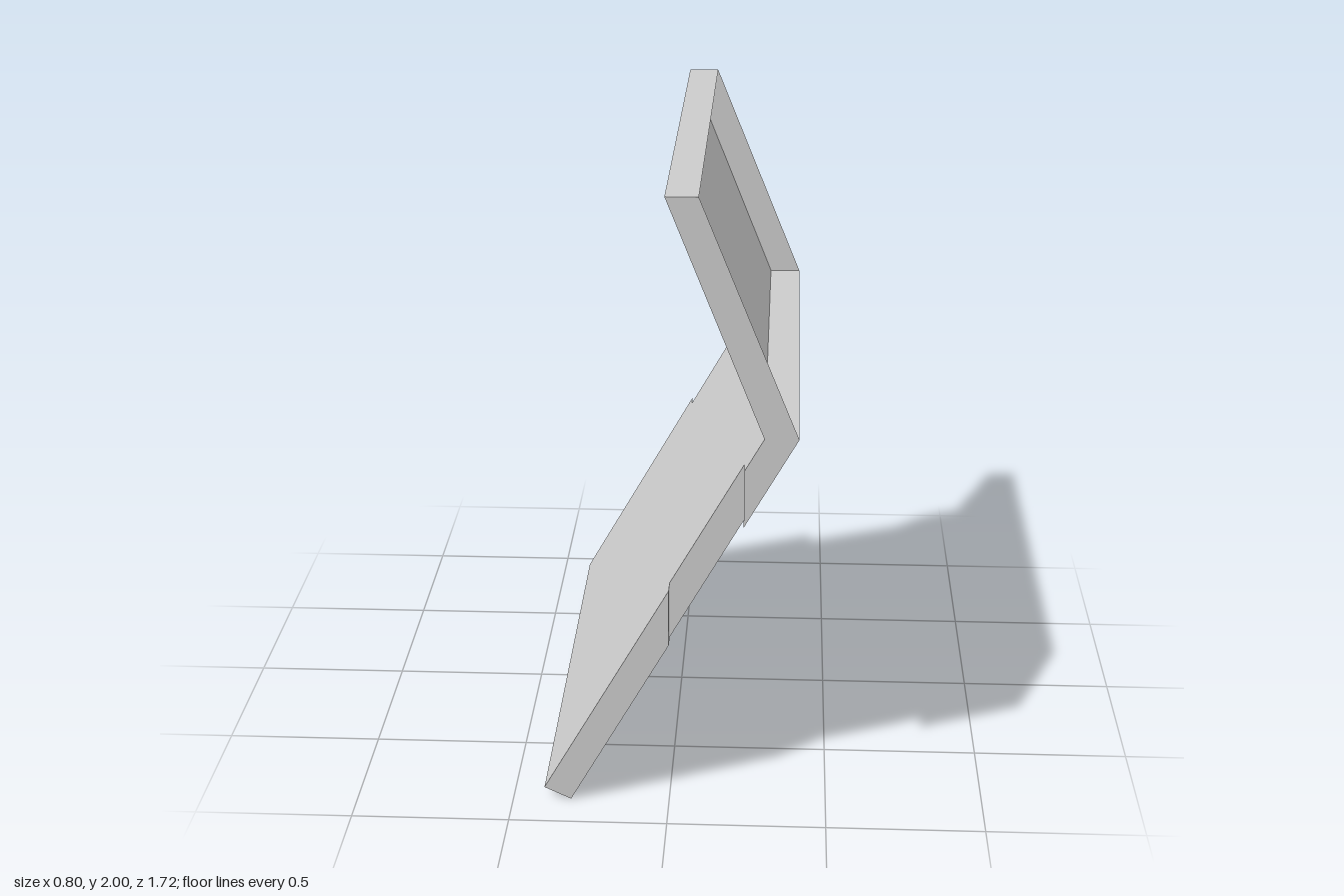
import * as THREE from 'three';

const material = new THREE.MeshStandardMaterial({ color: 0xcccccc, side: THREE.DoubleSide, flatShading: true });
const HALF = 0.86; // half the width along z

// Straight line in the x-y profile: height at a given x
const line = ([x0, y0], [x1, y1]) => (x) => y0 + ((x - x0) / (x1 - x0)) * (y1 - y0);

// Flat sheet through points [x, y, z] lying on one sloped plane
function sheet(name, points) {
  const flat = points.map(([, y, z]) => new THREE.Vector2(z, y));
  const geometry = new THREE.BufferGeometry();
  geometry.setAttribute('position', new THREE.Float32BufferAttribute(points.flat(), 3));
  geometry.setIndex(THREE.ShapeUtils.triangulateShape(flat, []).flat());
  geometry.computeVertexNormals();
  const mesh = new THREE.Mesh(geometry, material);
  mesh.name = name;
  return mesh;
}

// Thin walls joining two matching loops; edge number `skip` stays open
function walls(name, back, front, skip = -1) {
  const positions = [];
  back.forEach((a, i) => {
    if (i === skip) return;
    const j = (i + 1) % back.length;
    positions.push(...a, ...front[i], ...front[j], ...a, ...front[j], ...back[j]);
  });
  const geometry = new THREE.BufferGeometry();
  geometry.setAttribute('position', new THREE.Float32BufferAttribute(positions, 3));
  geometry.computeVertexNormals();
  const mesh = new THREE.Mesh(geometry, material);
  mesh.name = name;
  return mesh;
}

// Mirror the points of one side across z = 0 into a closed loop
const mirrored = (half) => [...half, ...half.map(([x, y, z]) => [x, y, -z]).reverse()];

export function createModel() {
  const model = new THREE.Group();
  model.name = 'foldedTrays';

  // Upper tray: open towards +x, sheet on the inner side of the fold
  const upper = new THREE.Group();
  upper.name = 'upperTray';
  const upperBack = mirrored([[-0.01, 2, HALF], [0.29, 1.25, HALF]]);
  const upperFront = mirrored([[0.09, 2, HALF], [0.395, 1.25, HALF]]);
  upper.add(sheet('upperSheet', upperBack), walls('upperWalls', upperBack, upperFront));

  // Lower tray: a notch in each long side between x = 0 and x = 0.23
  const lower = new THREE.Group();
  lower.name = 'lowerTray';
  const backY = line([-0.4, 0.04], [0.29, 1.25]);
  const frontY = line([-0.315, 0], [0.395, 1.25]);
  const notch = [[0.23, HALF], [0.23, 0.8], [0, 0.8], [0, HALF]];
  const side = (top, bottom, height) => mirrored([
    [top, height(top), HALF],
    ...notch.map(([x, z]) => [x, height(x), z]),
    [bottom, height(bottom), HALF],
  ]);
  const lowerBack = side(0.29, -0.4, backY);
  const lowerFront = side(0.395, -0.315, frontY);
  lower.add(sheet('lowerSheet', lowerBack));
  // the hinge wall already belongs to the upper tray
  lower.add(walls('lowerWalls', lowerBack, lowerFront, lowerBack.length - 1));

  // Inset plate just inside the lower sheet
  const plateHalf = [[0.275, 0.825], [0.245, 0.825], [0.245, 0.785], [-0.015, 0.785], [-0.015, 0.825], [-0.375, 0.825]];
  lower.add(sheet('insetPlate', mirrored(plateHalf.map(([x, z]) => [x + 0.005, backY(x) - 0.003, z]))));

  model.add(upper, lower);
  return model;
}
